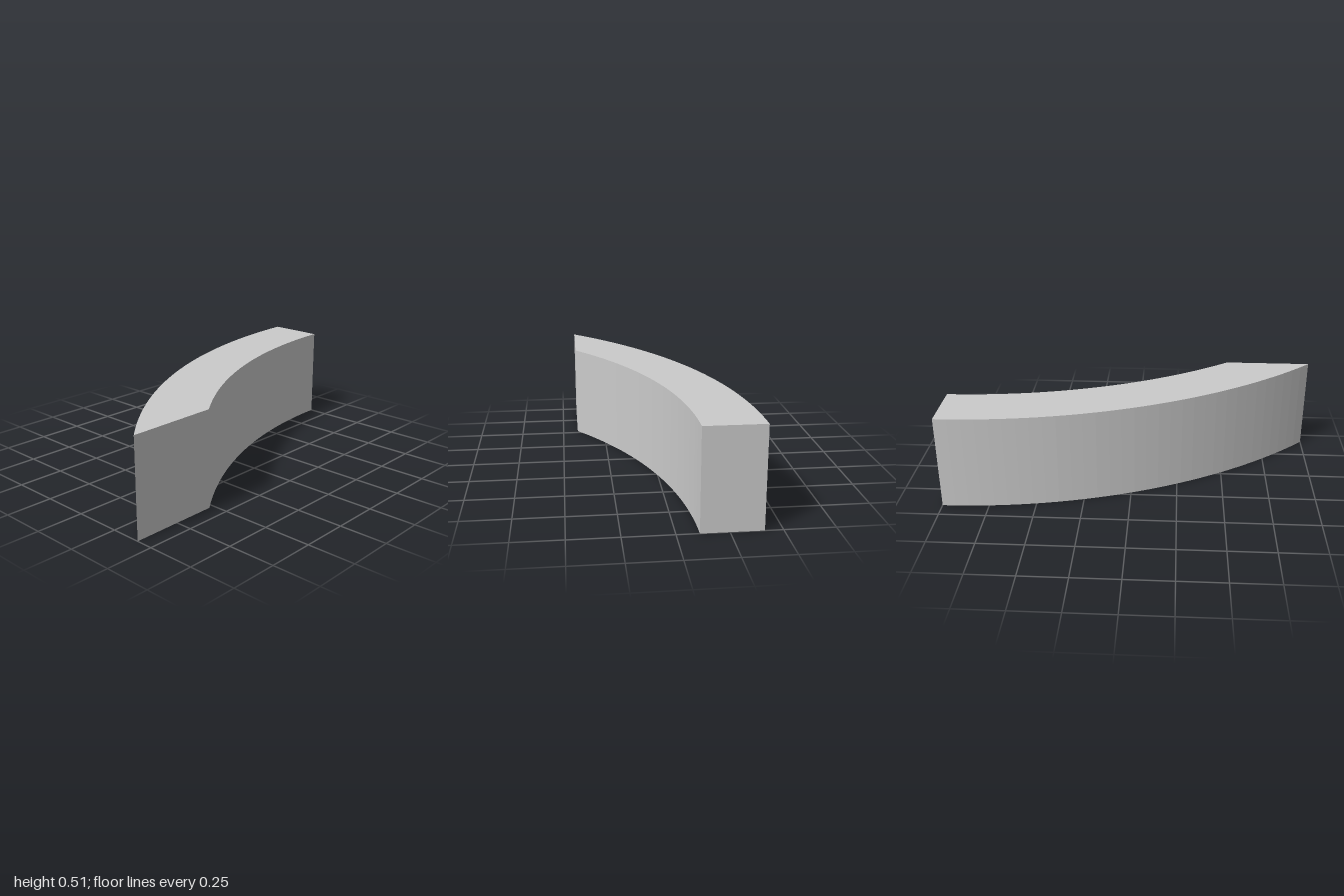
import * as THREE from 'three';

const HEIGHT = 0.515, END_X = 0.412, BACK_Z = -1, SEGMENTS = 32;

// Plan points of an arc that leaves the back end straight along z and curves towards +x
function arcPoints(startX, endZ) {
  const dx = END_X - startX, dz = endZ - BACK_Z;
  const radius = (dx * dx + dz * dz) / (2 * dx);
  const sweep = Math.asin(dz / radius);
  return Array.from({ length: SEGMENTS + 1 }, (_, i) => {
    const a = (sweep * i) / SEGMENTS;
    return new THREE.Vector2(startX + radius * (1 - Math.cos(a)), -(BACK_Z + radius * Math.sin(a)));
  });
}

export function createModel() {
  const group = new THREE.Group();
  group.name = 'curvedBlock';

  // Curved wall section: outer arc out, inner arc back, cut square at both ends
  const outer = arcPoints(-0.412, 1);
  const inner = arcPoints(-0.11, 0.528);
  const plan = new THREE.Shape([...outer, ...inner.reverse()]);
  const geometry = new THREE.ExtrudeGeometry(plan, { depth: HEIGHT, bevelEnabled: false });
  geometry.rotateX(-Math.PI / 2);

  const wall = new THREE.Mesh(
    geometry,
    new THREE.MeshStandardMaterial({ color: 0xcccccc, flatShading: true })
  );
  wall.name = 'curvedWall';
  group.add(wall);
  return group;
}
